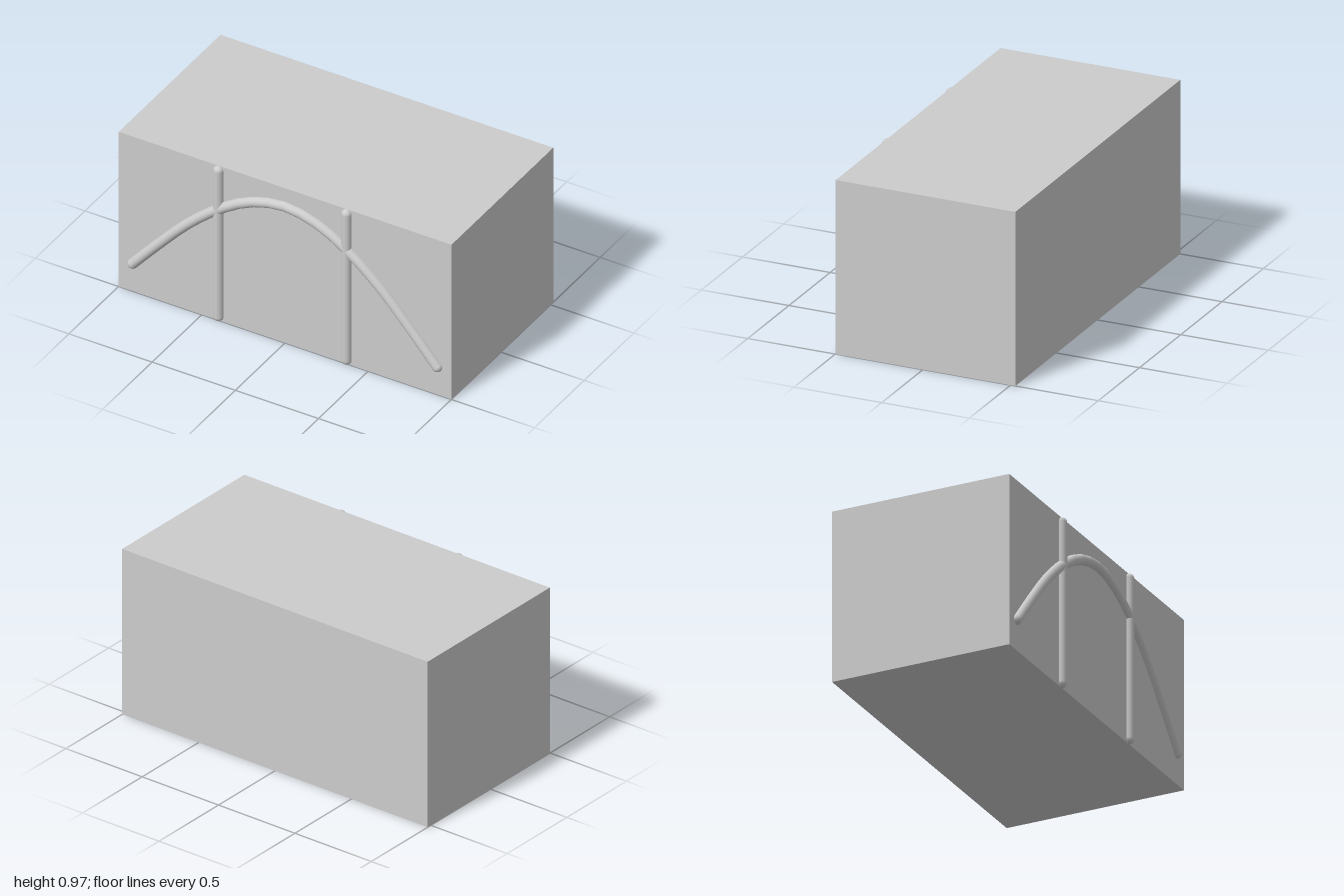
import * as THREE from 'three';

export function createModel() {
  const group = new THREE.Group();
  const grey = new THREE.MeshStandardMaterial({ color: 0xcccccc });
  grey.name = 'light grey';
  const height = 0.97, radius = 0.029, frontZ = 0.498;

  const add = (name, geometry, x = 0, y = 0, z = 0) => {
    const mesh = new THREE.Mesh(geometry, grey);
    mesh.name = name;
    mesh.position.set(x, y, z);
    group.add(mesh);
  };

  // Solid block
  add('block', new THREE.BoxGeometry(2, height, 1.025), 0, height / 2, -0.0145);

  // Upright round-ended rods, half sunk into the front face
  for (const [name, x] of [['rightRod', -0.4], ['leftRod', 0.37]]) {
    add(name, new THREE.CapsuleGeometry(radius, height - 2 * radius, 6, 16), x, height / 2, frontZ);
  }

  // Arched rod, mirrored about the middle
  const half = [[0.915, 0.175], [0.76, 0.352], [0.58, 0.545], [0.39, 0.705], [0.2, 0.815]];
  const points = [
    ...half.map(([x, y]) => new THREE.Vector3(-x, y, frontZ)),
    new THREE.Vector3(0, 0.858, frontZ),
    ...half.map(([x, y]) => new THREE.Vector3(x, y, frontZ)).reverse(),
  ];
  const arch = new THREE.CatmullRomCurve3(points);
  add('archRod', new THREE.TubeGeometry(arch, 24, radius, 16, false));

  // Rounded ends of the arch
  for (const [name, p] of [['archRightEnd', points[0]], ['archLeftEnd', points[points.length - 1]]]) {
    add(name, new THREE.SphereGeometry(radius, 16, 12), p.x, p.y, p.z);
  }

  return group;
}
